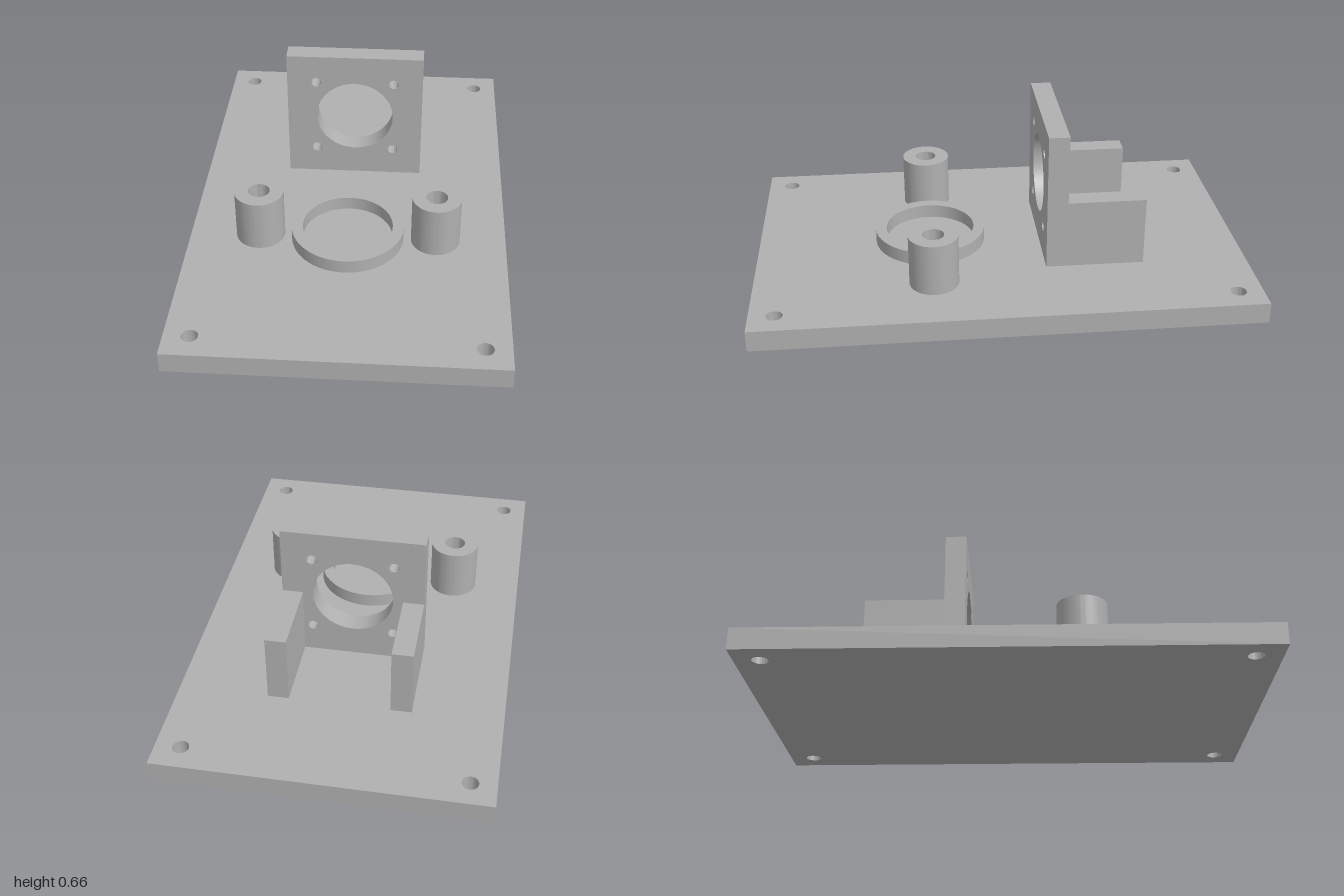
import * as THREE from 'three';
import { toCreasedNormals } from 'three/addons/utils/BufferGeometryUtils.js';

const PLATE_TOP = 0.086;

function circle(x, y, r, Type = THREE.Path) {
  return new Type().absarc(x, y, r, 0, Math.PI * 2, false);
}

function rectangle(x0, y0, x1, y1) {
  return new THREE.Shape([
    new THREE.Vector2(x0, y0), new THREE.Vector2(x1, y0),
    new THREE.Vector2(x1, y1), new THREE.Vector2(x0, y1),
  ]);
}

// Extrudes an outline with round holes, keeping curved walls smooth and edges sharp
function extrude(shape, holes, depth) {
  shape.holes.push(...holes);
  const geometry = new THREE.ExtrudeGeometry(shape, { depth, bevelEnabled: false, curveSegments: 48 });
  return toCreasedNormals(geometry, Math.PI / 6);
}

export function createModel() {
  const model = new THREE.Group();
  model.name = 'mountingPlate';
  const grey = new THREE.MeshStandardMaterial({ color: 0xb0b0b0 });
  grey.name = 'grey';

  function add(name, geometry, x = 0, y = 0, z = 0) {
    const mesh = new THREE.Mesh(geometry, grey);
    mesh.name = name;
    mesh.position.set(x, y, z);
    model.add(mesh);
  }

  // Upright tube standing on the plate
  function addTube(name, x, z, outer, inner, height) {
    const geometry = extrude(circle(0, 0, outer, THREE.Shape), [circle(0, 0, inner)], height);
    add(name, geometry.rotateX(-Math.PI / 2), x, PLATE_TOP, z);
  }

  // Base plate with a screw hole in each corner
  const corners = [];
  const screws = [];
  for (const sx of [-1, 1]) {
    for (const sy of [-1, 1]) {
      corners.push(circle(sx * 0.543, sy * 0.9, 0.032));
      screws.push(circle(sx * 0.164, 0.373 + sy * 0.164, 0.0205));
    }
  }
  add('basePlate', extrude(rectangle(-0.643, -1, 0.643, 1), corners, PLATE_TOP).rotateX(-Math.PI / 2));

  // Upright motor mount with a large bore and four screw holes
  add('mountWall',
    extrude(rectangle(-0.286, PLATE_TOP, 0.286, 0.659), [circle(0, 0.373, 0.162), ...screws], 0.084),
    0, 0, -0.258);

  // Locating ring
  addTube('locatingRing', 0, 0.284, 0.228, 0.183, 0.057);

  // Mirrored mount braces and hollow posts
  for (const [side, s] of [['left', 1], ['right', -1]]) {
    add(side + 'Brace', new THREE.BoxGeometry(0.084, 0.286, 0.315), s * 0.244, PLATE_TOP + 0.143, -0.4155);
    addTube(side + 'Post', s * 0.357, 0.284, 0.099, 0.043, 0.215);
  }

  return model;
}
